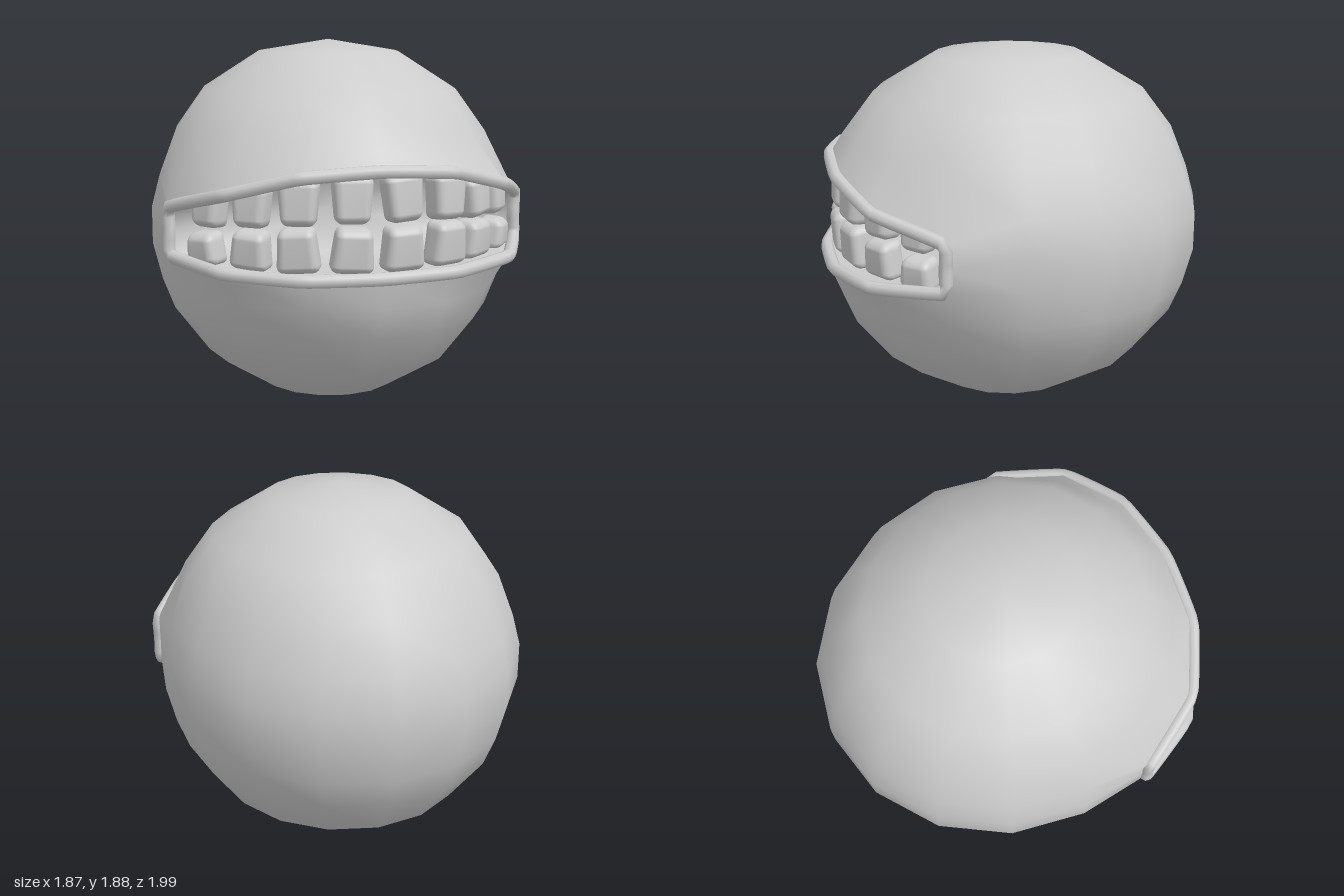
import * as THREE from 'three';
import { mergeVertices } from 'three/addons/utils/BufferGeometryUtils.js';
import { RoundedBoxGeometry } from 'three/addons/geometries/RoundedBoxGeometry.js';

const grey = new THREE.MeshStandardMaterial({ color: 0xcccccc });
grey.name = 'grey';

const SIDES = 16;
const X_SCALE = 0.94;

// Body rings from top to bottom: [radius, height]
const RINGS = [
  [0, 1.88], [0.385, 1.82], [0.7, 1.63], [0.86, 1.42], [0.95, 1.2], [0.995, 1.04],
  [0.995, 0.85], [0.945, 0.66], [0.88, 0.5], [0.69, 0.26], [0.375, 0.07], [0, 0],
];
const UPPER = 4, CORNER = 5, LOWER = 6;

// Mouth rim from the middle to the corner, mirrored for the other side
const UPPER_RIM = [[0, 1.31, 0.93], [0.38, 1.285, 0.88], [0.7, 1.195, 0.71], [0.9, 1.1, 0.38]];
const LOWER_RIM = [[0, 0.815, 0.965], [0.38, 0.815, 0.91], [0.72, 0.835, 0.73], [0.9, 0.86, 0.385]];

function rimPoint(table, col) {
  const [x, y, z] = table[Math.abs(col)];
  return new THREE.Vector3(Math.sign(col) * x, y, z);
}

function smoothGeometry(points, index) {
  const g = new THREE.BufferGeometry().setFromPoints(points);
  g.setIndex(index);
  const merged = mergeVertices(g, 1e-4);
  merged.computeVertexNormals();
  return merged;
}

// Round shell with the front quads left open for the mouth
function bodyGeometry() {
  const points = [], index = [];
  RINGS.forEach(([r, y], row) => {
    for (let i = 0; i <= SIDES; i++) {
      const col = i - SIDES / 2;
      const a = (col / SIDES) * Math.PI * 2;
      const inMouth = Math.abs(col) <= 3;
      if (row === UPPER && inMouth) points.push(rimPoint(UPPER_RIM, col));
      else if (row === LOWER && inMouth) points.push(rimPoint(LOWER_RIM, col));
      else if (row === CORNER && Math.abs(col) === 3) points.push(new THREE.Vector3(Math.sign(col) * 0.9, 0.98, 0.375));
      else points.push(new THREE.Vector3(Math.sin(a) * r * X_SCALE, y, Math.cos(a) * r));
    }
  });
  const w = SIDES + 1;
  for (let row = 0; row < RINGS.length - 1; row++) {
    for (let i = 0; i < SIDES; i++) {
      const col = i - SIDES / 2;
      if ((row === UPPER || row === CORNER) && col >= -3 && col < 3) continue;
      const a = row * w + i, b = a + w;
      if (row > 0) index.push(a, b + 1, a + 1);
      if (row < RINGS.length - 2) index.push(a, b, b + 1);
      else index.pop(), index.pop(), index.pop(), index.push(a, b, a + 1);
    }
  }
  return smoothGeometry(points, index);
}

// Closed loop around the mouth, clockwise as seen from the front
function mouthLoop() {
  const loop = [];
  for (let c = -3; c <= 3; c++) loop.push(rimPoint(UPPER_RIM, c));
  loop.push(new THREE.Vector3(0.9, 0.98, 0.375));
  for (let c = 3; c >= -3; c--) loop.push(rimPoint(LOWER_RIM, c));
  loop.push(new THREE.Vector3(-0.9, 0.98, 0.375));
  return loop;
}

// Hollow mouth lining that narrows to a back wall
function liningGeometry(loop) {
  const n = loop.length, index = [];
  const middle = loop.map(p => new THREE.Vector3(p.x * 0.82, p.y, p.z * 0.75 - 0.05));
  const back = loop.map(p => new THREE.Vector3(p.x * 0.65, p.y, p.z * 0.2 + 0.08));
  const points = [...loop, ...middle, ...back, new THREE.Vector3(0, 1.03, 0.15)];
  for (let i = 0; i < n; i++) {
    const j = (i + 1) % n;
    for (const s of [0, n]) index.push(s + i, s + n + i, s + j, s + j, s + n + i, s + n + j);
    index.push(2 * n + i, 3 * n, 2 * n + j);
  }
  return smoothGeometry(points, index);
}

// Teeth of one side, from the middle outwards: [x, z, width, bottom, top]
const UPPER_TEETH = [
  [0.12, 0.84, 0.18, 1.06, 1.29], [0.355, 0.78, 0.18, 1.05, 1.27],
  [0.545, 0.65, 0.17, 1.03, 1.23], [0.71, 0.48, 0.16, 1.01, 1.18],
];
const LOWER_TEETH = [
  [0.12, 0.85, 0.19, 0.83, 1.045], [0.36, 0.78, 0.19, 0.83, 1.045],
  [0.55, 0.65, 0.18, 0.83, 1.02], [0.73, 0.48, 0.17, 0.83, 0.99],
];

function addTeeth(group, table, name, lean) {
  for (const side of [-1, 1]) {
    table.forEach(([x, z, width, low, high], i) => {
      const geometry = new RoundedBoxGeometry(width, high - low, 0.13, 3, 0.04);
      // Each tooth narrows towards its root and bulges at the front
      const pos = geometry.attributes.position;
      for (let k = 0; k < pos.count; k++) {
        const t = pos.getY(k) / (high - low);
        pos.setX(k, pos.getX(k) * (1 - lean * t * 0.22));
        pos.setZ(k, pos.getZ(k) + 0.02 * (1 - 4 * t * t));
      }
      geometry.computeVertexNormals();
      const tooth = new THREE.Mesh(mergeSmooth(geometry), grey);
      tooth.name = name;
      tooth.position.set(side * x, (low + high) / 2, z);
      tooth.rotation.order = 'YXZ';
      tooth.rotation.set(lean * 0.06, side * Math.atan2(x, z) * 0.95, Math.sin(i * 3.1 + side * 2 + lean) * 0.07);
      group.add(tooth);
    });
  }
}

// Joins split corners so the shading runs smoothly round each tooth
function mergeSmooth(geometry) {
  geometry.deleteAttribute('normal');
  geometry.deleteAttribute('uv');
  const merged = mergeVertices(geometry, 1e-4);
  merged.computeVertexNormals();
  return merged;
}

export function createModel() {
  const group = new THREE.Group();
  group.name = 'toothyBall';

  const add = (geometry, name) => {
    const mesh = new THREE.Mesh(geometry, grey);
    mesh.name = name;
    group.add(mesh);
  };

  const loop = mouthLoop();
  add(bodyGeometry(), 'body');
  add(liningGeometry(loop), 'mouthLining');

  // Rolled lip following the mouth rim
  const lipPath = new THREE.CatmullRomCurve3(loop, true, 'catmullrom', 0.15);
  add(new THREE.TubeGeometry(lipPath, 96, 0.033, 8, true), 'lips');

  addTeeth(group, UPPER_TEETH, 'upperTooth', -1);
  addTeeth(group, LOWER_TEETH, 'lowerTooth', 1);
  return group;
}
